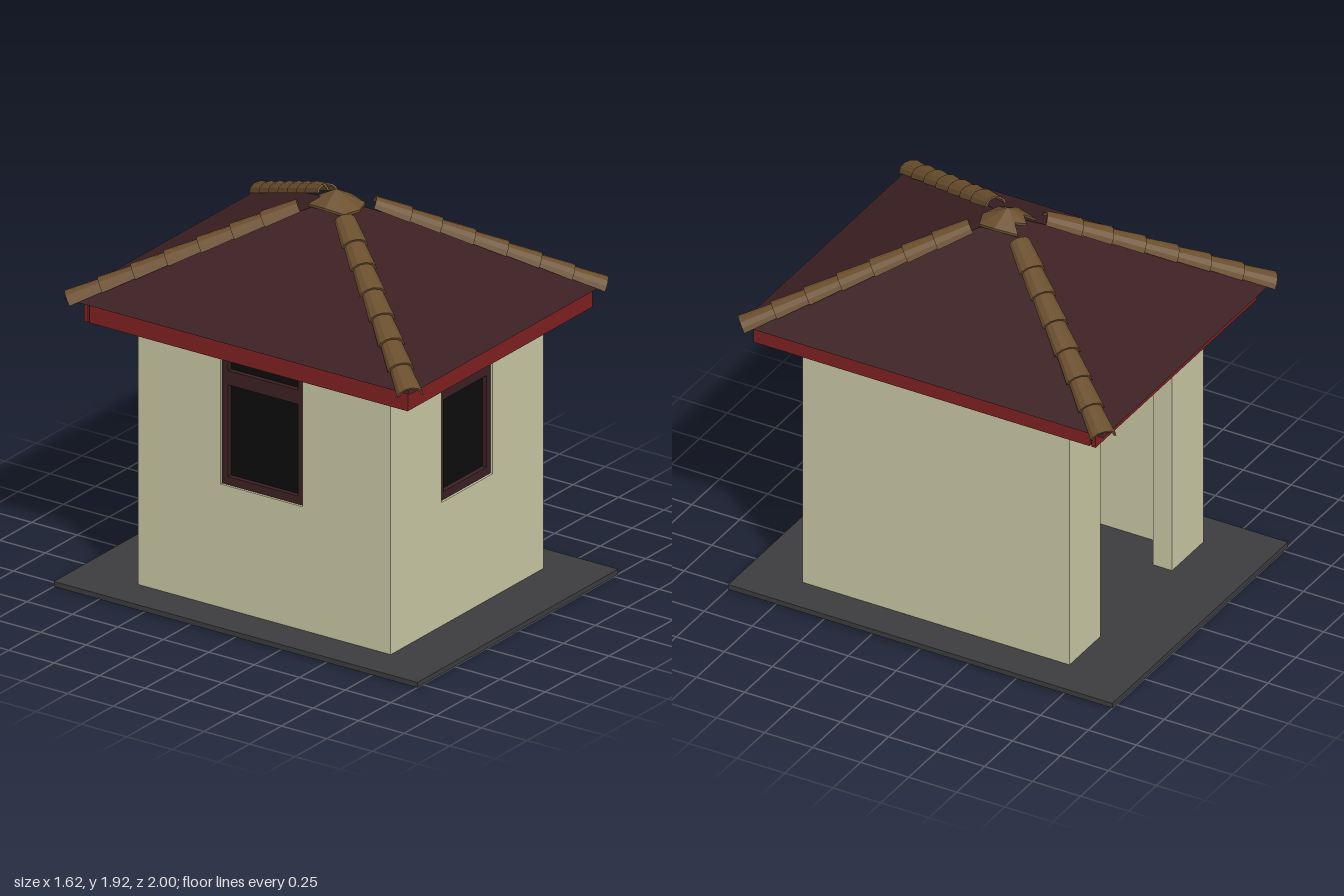
import * as THREE from 'three';

const mat = (color, extra = {}) => new THREE.MeshStandardMaterial({ color, flatShading: true, ...extra });
const plaster = mat(0xc8c6a2), red = mat(0x7e2020), maroon = mat(0x3c2023), clay = mat(0x6b4f2e, { side: THREE.DoubleSide });
const slate = mat(0x3c3c3e), dark = mat(0x0c0c0c), wood = mat(0x4a3a1c);

const BASE_Y = 0.025, EAVE_Y = 1.42;

// Box given by its limits on each axis
function box(parent, name, material, [x0, x1], [y0, y1], [z0, z1]) {
  const mesh = new THREE.Mesh(new THREE.BoxGeometry(x1 - x0, y1 - y0, z1 - z0), material);
  mesh.position.set((x0 + x1) / 2, (y0 + y1) / 2, (z0 + z1) / 2);
  mesh.name = name;
  parent.add(mesh);
  return mesh;
}

// Framed window with a lower and an upper pane; outer face at z = 0
function makeWindow(width) {
  const g = new THREE.Group();
  const h = width / 2, bottom = 0.63, top = 1.4, depth = [-0.045, -0.012];
  for (const s of [-1, 1]) {
    const a = s * h, b = s * (h - 0.032);
    box(g, 'windowJamb', maroon, [Math.min(a, b), Math.max(a, b)], [bottom, top], depth);
  }
  const inner = [-h + 0.032, h - 0.032];
  box(g, 'windowSill', maroon, inner, [bottom, 0.67], depth);
  box(g, 'windowCrossbar', maroon, inner, [1.12, 1.19], depth);
  box(g, 'windowHead', maroon, inner, [1.36, top], depth);
  box(g, 'windowPane', dark, [-h, h], [bottom, top], [-0.055, -0.035]);
  return g;
}

// Curved ridge tile: thin half ring, wider and higher at its lower end
function makeTileGeometry(length) {
  const R = 0.062, r = 0.05, n = 6;
  const arc = (rad) => Array.from({ length: n + 1 }, (_, i) => {
    const a = (Math.PI * i) / n;
    return new THREE.Vector2(Math.cos(a) * rad, Math.sin(a) * rad * 0.8);
  });
  const shape = new THREE.Shape([...arc(R), ...arc(r).reverse()]);
  const geo = new THREE.ExtrudeGeometry(shape, { depth: length, bevelEnabled: false });
  const p = geo.attributes.position;
  for (let i = 0; i < p.count; i++) {
    const k = 0.8 + 0.2 * (p.getZ(i) / length);
    p.setXY(i, p.getX(i) * k, p.getY(i) * k);
  }
  geo.computeVertexNormals();
  return geo;
}

// Ridge cap: shallow cone over an irregular rim
function makeCapGeometry(apexY) {
  const rim = [[-0.105, 0.01], [-0.085, 0.1], [0, 0.13], [0.085, 0.1], [0.105, 0.01],
    [0.08, -0.1], [0.04, -0.06], [0, -0.1], [-0.04, -0.06], [-0.08, -0.1]];
  const pos = [];
  const at = ([x, z], drop) => [x, apexY - 0.55 * Math.hypot(x, z) - drop, z];
  rim.forEach((a, i) => {
    const b = rim[(i + 1) % rim.length];
    pos.push(0, apexY, 0, ...at(a, 0), ...at(b, 0));
    pos.push(...at(a, 0), ...at(a, 0.012), ...at(b, 0.012), ...at(a, 0), ...at(b, 0.012), ...at(b, 0));
  });
  const geo = new THREE.BufferGeometry();
  geo.setAttribute('position', new THREE.Float32BufferAttribute(pos, 3));
  geo.computeVertexNormals();
  return geo;
}

export function createModel() {
  const model = new THREE.Group();
  model.name = 'gatehouse';

  // Ground slab
  box(model, 'groundSlab', slate, [-0.79, 0.785], [0, BASE_Y], [-1, 1]);

  // Walls, with notches for the front and side windows and an open back doorway
  const walls = new THREE.Group();
  walls.name = 'walls';
  model.add(walls);
  const full = [BASE_Y, EAVE_Y], sill = [BASE_Y, 0.63];
  box(walls, 'blankSideWall', plaster, [0.5, 0.6], full, [-0.67, 0.72]);
  box(walls, 'frontWallLeft', plaster, [0.2, 0.5], full, [0.62, 0.72]);
  box(walls, 'frontWallRight', plaster, [-0.6, -0.2], full, [0.62, 0.72]);
  box(walls, 'frontWallSill', plaster, [-0.2, 0.2], sill, [0.62, 0.72]);
  box(walls, 'sideWallFront', plaster, [-0.6, -0.5], full, [0.235, 0.62]);
  box(walls, 'sideWallBack', plaster, [-0.6, -0.5], full, [-0.215, -0.67].reverse());
  box(walls, 'sideWallSill', plaster, [-0.6, -0.5], sill, [-0.215, 0.235]);
  box(walls, 'doorPierLeft', plaster, [0.32, 0.5], full, [-0.67, -0.57]);
  box(walls, 'doorPierRight', plaster, [-0.5, -0.32], full, [-0.67, -0.57]);

  // Windows
  const front = makeWindow(0.4);
  front.name = 'frontWindow';
  front.position.z = 0.72;
  const side = makeWindow(0.45);
  side.name = 'sideWindow';
  side.position.set(-0.6, 0, 0.01);
  side.rotation.y = -Math.PI / 2;
  model.add(front, side);

  // Fascia boards under the eaves
  const band = [1.31, EAVE_Y];
  box(model, 'frontFascia', red, [-0.73, 0.72], band, [0.885, 0.905]);
  box(model, 'backFascia', red, [-0.73, 0.72], band, [-0.875, -0.855]);
  box(model, 'leftFascia', red, [0.7, 0.72], band, [-0.845, 0.885]);
  box(model, 'rightFascia', red, [-0.73, -0.71], band, [-0.845, 0.885]);

  // Ceiling and hipped roof
  box(model, 'ceiling', wood, [-0.5, 0.5], [1.405, EAVE_Y], [-0.67, 0.62]);
  const roofGeo = new THREE.ConeGeometry(Math.SQRT2, 0.455, 4).rotateY(Math.PI / 4).scale(0.78, 1, 0.95);
  const roof = new THREE.Mesh(roofGeo, maroon);
  roof.name = 'roof';
  roof.position.y = EAVE_Y + 0.2275;
  model.add(roof);

  // Overlapping tiles down the four hips
  const count = 7;
  for (const sx of [-1, 1]) for (const sz of [-1, 1]) {
    const hip = new THREE.Group();
    hip.name = 'hipTiles';
    const start = new THREE.Vector3(0.11 * sx, 1.835, 0.125 * sz);
    const end = new THREE.Vector3(0.76 * sx, 1.405, 0.94 * sz);
    const step = start.distanceTo(end) / count;
    const geo = makeTileGeometry(step * 1.08);
    for (let i = 0; i < count; i++) {
      const tile = new THREE.Mesh(geo, clay);
      tile.name = 'hipTile';
      tile.position.z = step * (i - 0.08 * (i > 0));
      hip.add(tile);
    }
    hip.position.copy(start);
    hip.lookAt(end);
    model.add(hip);
  }

  // Cap at the peak
  const cap = new THREE.Mesh(makeCapGeometry(1.92), clay);
  cap.name = 'peakCap';
  model.add(cap);

  return model;
}
